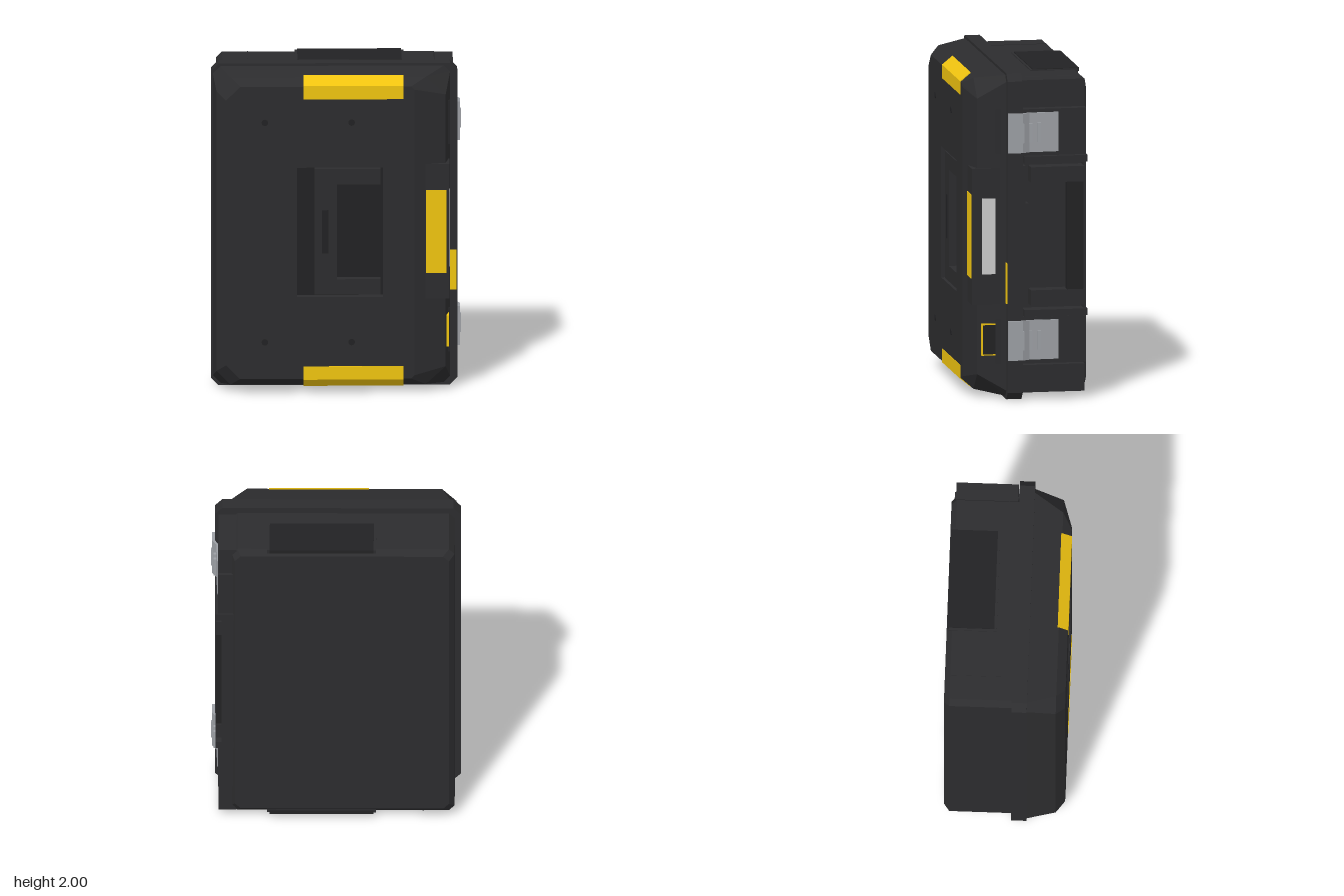
import * as THREE from 'three';

const paint = (color) => new THREE.MeshStandardMaterial({ color, flatShading: true });
const DARK = paint(0x2c2c2e), BLACK = paint(0x222224), YELLOW = paint(0xf0c410);
const STEEL = paint(0x9da0a5), LABEL = paint(0xcccccc);

// Octagon outline (counter-clockwise) with separate corner cuts on each side.
function octagon(x0, x1, y0, y1, cut, cutX = cut, cutY = cutX) {
  return [[x0 + cut, y0], [x1 - cutX, y0], [x1, y0 + cutY], [x1, y1 - cutY],
    [x1 - cutX, y1], [x0 + cut, y1], [x0, y1 - cut], [x0, y0 + cut]];
}

// Skin through outlines at rising z, with optional end caps.
function loft(sections, capBack, capFront) {
  const n = sections[0].pts.length, pos = [], index = [];
  sections.forEach(({ z, pts }) => pts.forEach(([x, y]) => pos.push(x, y, z)));
  for (let s = 0; s < sections.length - 1; s++) {
    for (let i = 0; i < n; i++) {
      const a = s * n + i, b = s * n + (i + 1) % n;
      index.push(a, b, b + n, a, b + n, a + n);
    }
  }
  const last = (sections.length - 1) * n;
  for (let i = 1; i < n - 1; i++) {
    if (capBack) index.push(0, i + 1, i);
    if (capFront) index.push(last, last + i, last + i + 1);
  }
  const g = new THREE.BufferGeometry();
  g.setAttribute('position', new THREE.Float32BufferAttribute(pos, 3));
  g.setIndex(index);
  const flat = g.toNonIndexed();
  flat.computeVertexNormals();
  return flat;
}

const toShape = (pts) => new THREE.Shape(pts.map(([x, y]) => new THREE.Vector2(x, y)));
const extrude = (shape, depth) => new THREE.ExtrudeGeometry(shape, { depth, bevelEnabled: false });

export function createModel() {
  const model = new THREE.Group();
  const add = (name, geometry, material = DARK) => {
    const mesh = new THREE.Mesh(geometry, material);
    mesh.name = name;
    model.add(mesh);
    return mesh;
  };
  // Box given by its limits on each axis.
  const box = (name, x0, x1, y0, y1, z0, z1, material) => {
    const g = new THREE.BoxGeometry(x1 - x0, y1 - y0, z1 - z0);
    g.translate((x0 + x1) / 2, (y0 + y1) / 2, (z0 + z1) / 2);
    return add(name, g, material);
  };
  // Two boxes mirrored about mid height y = 1; limits are distances from it.
  const pair = (name, x0, x1, d0, d1, z0, z1, material) => {
    box(name, x0, x1, 1 + d0, 1 + d1, z0, z1, material);
    box(name, x0, x1, 1 - d1, 1 - d0, z0, z1, material);
  };

  // Base shell with chamfered back edges
  add('baseShell', loft([
    { z: -0.368, pts: octagon(-0.685, 0.61, 0.07, 1.93, 0.035) },
    { z: -0.335, pts: octagon(-0.72, 0.63, 0.037, 1.963, 0.035) },
    { z: 0.05, pts: octagon(-0.72, 0.63, 0.037, 1.963, 0.035) },
  ], true, true));

  // Rim between base and lid
  add('rim', loft([
    { z: 0.042, pts: octagon(-0.757, 0.733, 0, 2, 0.045) },
    { z: 0.135, pts: octagon(-0.757, 0.733, 0, 2, 0.045) },
  ], true, true));

  // Lid: tapered walls, chamfered ring, front slab with a handle well
  const front = octagon(-0.67, 0.47, 0.092, 1.908, 0.085, 0.02);
  add('lidShell', loft([
    { z: 0.13, pts: octagon(-0.747, 0.69, 0.015, 1.985, 0.045, 0.035) },
    { z: 0.31, pts: octagon(-0.727, 0.66, 0.045, 1.955, 0.085, 0.12, 0.11) },
    { z: 0.365, pts: front },
  ], false, false));
  const face = toShape(front);
  face.holes.push(new THREE.Path([[-0.24, 0.6], [-0.24, 1.405], [0.28, 1.405], [0.28, 0.6]]
    .map(([x, y]) => new THREE.Vector2(x, y))));
  add('lidFront', extrude(face, 0.06).translate(0, 0, 0.305));
  box('handleWellFloor', -0.25, 0.29, 0.59, 1.415, 0.295, 0.306, BLACK);

  // C-shaped carry handle folded into the well
  const grip = toShape([[-0.135, 0.615], [0.265, 0.615], [0.265, 0.71], [0, 0.71],
    [0, 1.3], [0.265, 1.3], [0.265, 1.395], [-0.135, 1.395]]);
  add('frontHandle', extrude(grip, 0.056).translate(0, 0, 0.306));
  box('frontHandleInset', -0.09, -0.05, 0.87, 1.14, 0.355, 0.364, BLACK);

  // Round plugs on the lid
  for (const x of [-0.435, 0.09]) {
    for (const y of [0.32, 1.685]) {
      add('lidPlug', new THREE.CylinderGeometry(0.02, 0.02, 0.006, 16)
        .rotateX(Math.PI / 2).translate(x, y, 0.364), BLACK);
    }
  }

  // Yellow corner guards folded over the top and bottom chamfers
  for (const s of [1, -1]) {
    const profile = [[0.368, 0.83], [0.368, 0.913], [0.303, 0.966], [0.303, 0.94], [0.34, 0.83]];
    const g = extrude(toShape(profile.map(([z, d]) => [-z, 1 + s * d])), 0.605);
    add('edgeGuard', g.rotateY(Math.PI / 2).translate(-0.2, 0, 0), YELLOW);
  }

  // Bumper block on the opening side of the lid
  box('sideBumper', 0.5, 0.683, 0.585, 1.42, 0.13, 0.346);
  box('bumperGuard', 0.54, 0.663, 0.745, 1.26, 0.33, 0.35, YELLOW);
  box('sideLabel', 0.67, 0.687, 0.77, 1.235, 0.2, 0.285, LABEL);
  box('rimMark', 0.68, 0.727, 0.59, 0.84, 0.13, 0.141, YELLOW);

  // Framed badge plate below the bumper
  box('badgeFrame', 0.63, 0.68, 0.27, 0.465, 0.15, 0.285, YELLOW);
  box('badgePlate', 0.63, 0.683, 0.278, 0.457, 0.157, 0.278, BLACK);

  // Opening side of the base: corner posts, latch mounts, ribs
  pair('cornerPost', 0.6, 0.71, 0.79, 0.958, -0.342, 0.035);
  pair('latchMount', 0.6, 0.712, 0.495, 0.78, -0.352, 0.045);
  pair('lidLatchPad', 0.62, 0.684, 0.51, 0.78, 0.13, 0.2);
  pair('sideRib', 0.6, 0.728, 0.45, 0.492, -0.358, 0.03);
  box('sidePanelEdge', 0.6, 0.7, 0.57, 1.43, 0.018, 0.045);
  box('sidePanelBack', 0.6, 0.69, 0.54, 1.46, -0.355, -0.338);

  // Side carry handle
  pair('sideHandleArm', 0.62, 0.725, 0.33, 0.425, -0.342, -0.01);
  box('sideHandleBar', 0.665, 0.725, 0.67, 1.33, -0.332, -0.232, BLACK);
  const tab = toShape([[0.02, 0.8], [0.02, 1.2], [0, 1.2], [-0.022, 1.17], [-0.022, 0.83], [0, 0.8]]
    .map(([z, y]) => [-z, y]));
  add('fingerTab', extrude(tab, 0.08).rotateY(Math.PI / 2).translate(0.62, 0, 0));

  // Latches bent over the rim, each with three ridges
  const bend = [[0.705, -0.182], [0.717, -0.182], [0.724, 0], [0.75, 0.045], [0.75, 0.133],
    [0.733, 0.133], [0.733, 0.045], [0.71, 0]];
  for (const y of [0.245, 1.518]) {
    add('latch', extrude(toShape(bend), 0.242).rotateX(Math.PI / 2)
      .translate(0, y + 0.242, 0), STEEL);
    for (const z of [-0.06, -0.007, 0.047]) {
      box('latchRidge', 0.715, z > 0 ? 0.757 : 0.74, y + 0.062, y + 0.18, z - 0.01, z + 0.01, STEEL);
    }
  }

  // Foot plates on both ends, with a raised inner pad
  pair('footPlate', -0.245, 0.415, 0.94, 0.968, -0.355, -0.065);
  pair('footPad', -0.23, 0.4, 0.95, 0.973, -0.365, -0.08, BLACK);
  pair('endSeam', -0.534, -0.526, 0.95, 0.966, -0.335, 0.01);

  return model;
}
